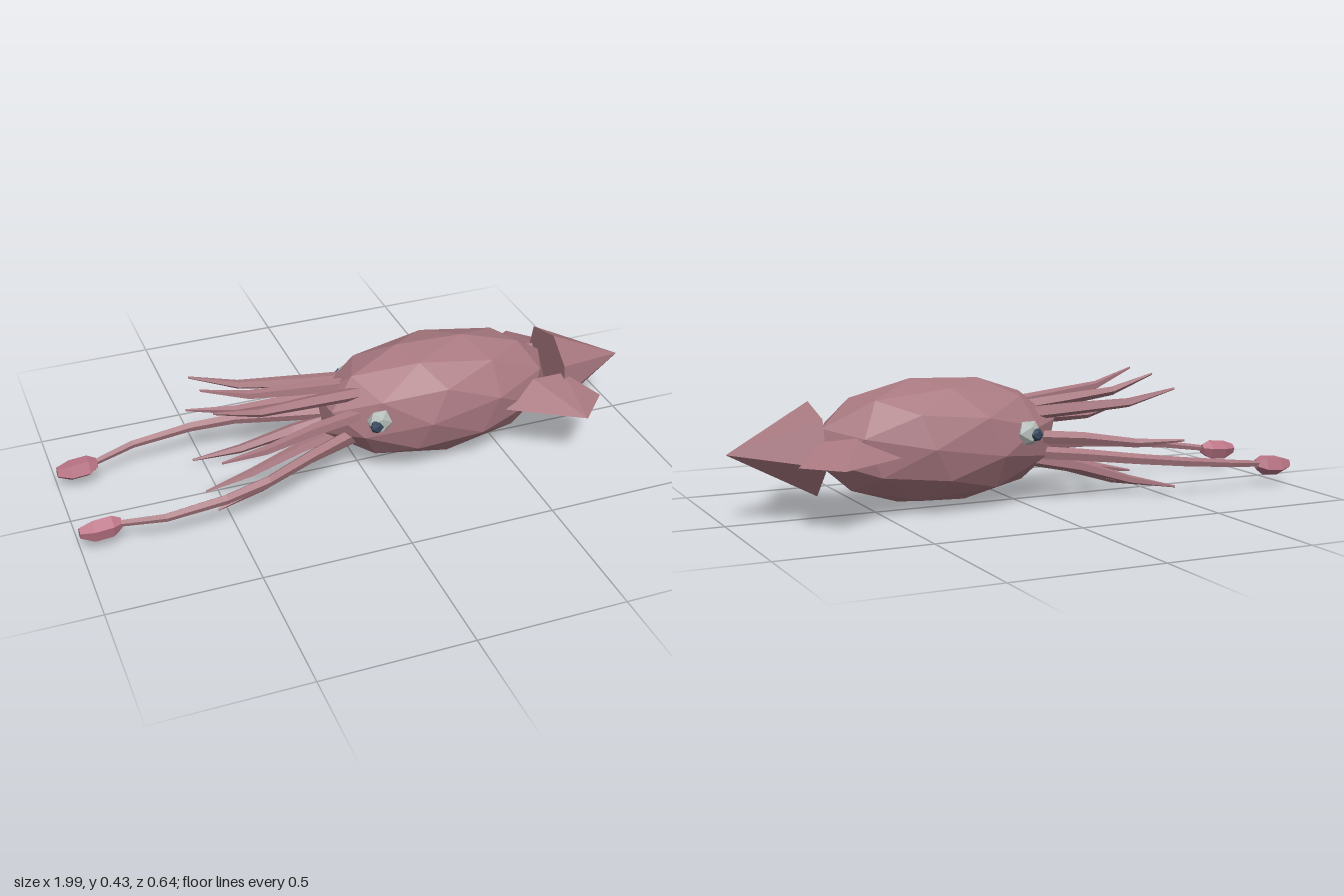
import * as THREE from 'three';

const mat = (color, side = THREE.FrontSide) =>
  new THREE.MeshStandardMaterial({ color, flatShading: true, roughness: 0.8, side });
const skin = mat(0xa87880);
const clubSkin = mat(0xb97385);
const eyeWhite = mat(0xb4bcb8);
const pupilDark = mat(0x34465a);

function add(group, name, geometry, material) {
  const mesh = new THREE.Mesh(geometry, material);
  mesh.name = name;
  group.add(mesh);
  return mesh;
}

// Flat-shaded geometry from corner points and triangles
function facets(points, index) {
  const g = new THREE.BufferGeometry();
  g.setAttribute('position', new THREE.Float32BufferAttribute(points.flat(), 3));
  g.setIndex(index);
  const flat = g.toNonIndexed();
  flat.computeVertexNormals();
  return flat;
}

// Limb along -x: stations [x, y, z, radius], joined by rings in the yz plane
function limb(stations, angles) {
  const n = angles.length, points = [], index = [];
  for (const [x, y, z, r] of stations)
    for (const a of angles) points.push([x, y + r * Math.sin(a), z + r * Math.cos(a)]);
  for (let i = 0; i < stations.length - 1; i++) {
    for (let j = 0; j < n; j++) {
      const a = i * n + j, b = i * n + (j + 1) % n;
      index.push(a, b, a + n, b, b + n, a + n);
    }
  }
  const last = (stations.length - 1) * n;
  for (let j = 1; j < n - 1; j++) {
    index.push(0, j + 1, j);
    index.push(last, last + j, last + j + 1);
  }
  return facets(points, index);
}

const ring = (n, start = 0) => Array.from({ length: n }, (_, i) => start + (i * 2 * Math.PI) / n);

export function createModel() {
  const model = new THREE.Group();
  model.name = 'squid';

  // Mantle: faceted ball, turned a little and then stretched along x
  const mantle = new THREE.IcosahedronGeometry(1, 1);
  mantle.rotateZ(-0.22).rotateY(-0.2);
  mantle.scale(0.432, 0.212, 0.208).translate(0.28, 0.225, 0);
  mantle.computeVertexNormals();
  add(model, 'mantle', mantle, skin);

  // Tail cone with an uneven seven-sided base
  const coneAngles = [75, 135, 195, 255, 300, 345, 390].map(THREE.MathUtils.degToRad);
  add(model, 'tailCone', limb([[0.99, 0.225, 0, 0.0005], [0.71, 0.225, 0, 0.153]], coneAngles), skin);

  // Fins: flat underneath, rising to a ridge at the body
  for (const s of [1, -1]) {
    const p = [[0.44, 0.203, 0.15], [0.71, 0.203, 0.32], [0.82, 0.203, 0.2],
      [0.72, 0.203, 0.07], [0.6, 0.268, 0.12], [0.72, 0.262, 0.11]];
    const tri = [0, 1, 4, 1, 5, 4, 1, 2, 5, 2, 3, 5, 3, 4, 5, 0, 4, 3, 0, 3, 1, 1, 3, 2];
    if (s < 0) tri.reverse();
    add(model, s > 0 ? 'leftFin' : 'rightFin',
      facets(p.map(([x, y, z]) => [x, y, z * s]), tri),
      mat(0xa87880, THREE.DoubleSide));
  }

  // Eyes: faceted ball with a dark pupil, one on each side
  for (const s of [1, -1]) {
    const eye = new THREE.Group();
    eye.name = s > 0 ? 'leftEye' : 'rightEye';
    const ball = add(eye, 'eyeball', new THREE.IcosahedronGeometry(0.045, 0), eyeWhite);
    ball.scale.z = 0.75;
    const pupil = add(eye, 'pupil', new THREE.IcosahedronGeometry(0.024, 0), pupilDark);
    pupil.position.set(-0.018, -0.004, s * 0.02);
    eye.position.set(0.02, 0.25, s * 0.157);
    model.add(eye);
  }

  // Eight arms: [tip y, tip z], spreading from the head and bending at mid length
  const tips = [[0.405, 0.155], [0.365, -0.15], [0.265, 0.23], [0.195, -0.22],
    [0.03, 0.15], [0.025, -0.165], [0.003, 0], [0.4, 0]];
  tips.forEach(([ty, tz], i) => {
    const at = (x, k, lift, r) => [x, 0.225 + (ty - 0.225) * k + lift, tz * k, r];
    add(model, 'arm' + (i + 1), limb([
      at(0.0, 0.42, 0.015, 0.024),
      at(-0.2, 0.58, 0.005, 0.022),
      at(-0.38, 0.78, -0.012, 0.016),
      at(-0.54, 1, 0, 0.004),
    ], ring(5, i)), skin);
  });

  // Two long feeding tentacles ending in clubs
  for (const s of [1, -1]) {
    const side = s > 0 ? 'left' : 'right', z = s > 0 ? 0.172 : -0.182;
    add(model, side + 'Tentacle', limb([
      [0.0, 0.17, s * 0.06, 0.024],
      [-0.2, 0.155, s * 0.13, 0.022],
      [-0.38, 0.138, s * 0.2, 0.019],
      [-0.53, 0.122, s * 0.226, 0.017],
      [-0.73, 0.1, s * 0.224, 0.014],
      [-0.89, 0.08, z, 0.011],
    ], ring(5, 0.3)), skin);
    add(model, side + 'Club', limb([
      [-0.865, 0.08, z, 0.018],
      [-0.895, 0.076, z, 0.036],
      [-0.955, 0.071, z, 0.036],
      [-1.0, 0.073, z, 0.018],
    ], ring(5, s > 0 ? 0.4 : 1)), clubSkin);
  }
  return model;
}
